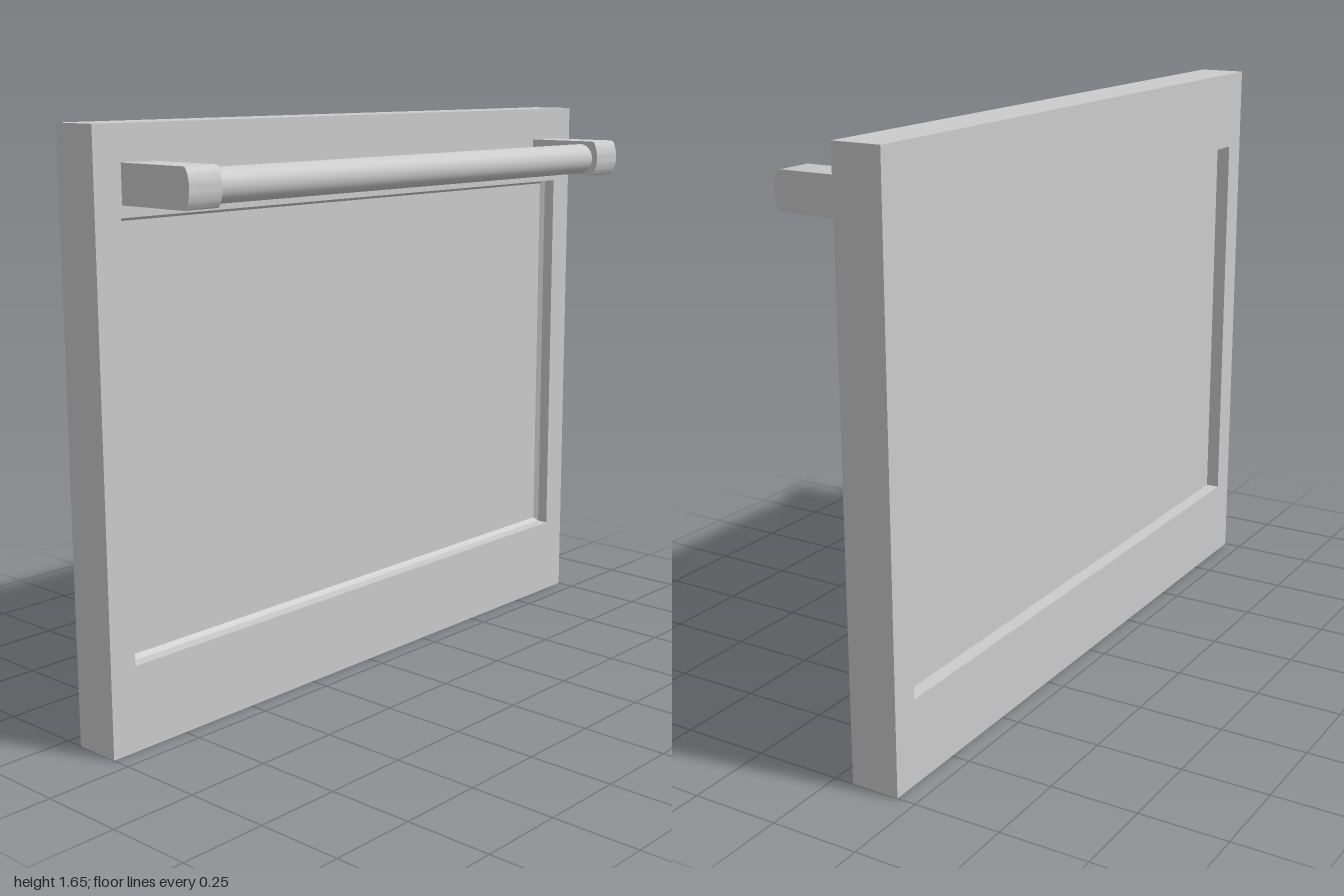
import * as THREE from 'three';
import { toCreasedNormals } from 'three/addons/utils/BufferGeometryUtils.js';

const W = 2, H = 1.655, BACK = -0.196, FRONT = -0.056;
const WIN = { x: 0.918, y0: 0.24, y1: 1.42 };

function rect(Type, x, y0, y1) {
  const p = new Type();
  p.moveTo(-x, y0);
  p.lineTo(x, y0);
  p.lineTo(x, y1);
  p.lineTo(-x, y1);
  p.closePath();
  return p;
}

export function createModel() {
  const group = new THREE.Group();
  const material = new THREE.MeshStandardMaterial({ color: 0xcccccc });
  const add = (name, geometry, x = 0, y = 0, z = 0) => {
    const mesh = new THREE.Mesh(geometry, material);
    mesh.name = name;
    mesh.position.set(x, y, z);
    group.add(mesh);
    return mesh;
  };

  // Door frame with a rectangular window opening
  const frame = rect(THREE.Shape, W / 2, 0, H);
  frame.holes.push(rect(THREE.Path, WIN.x, WIN.y0, WIN.y1));
  add('doorFrame', new THREE.ExtrudeGeometry(frame, { depth: FRONT - BACK, bevelEnabled: false }), 0, 0, BACK);

  // Window pane recessed on both faces
  const paneBack = -0.155, paneFront = -0.103;
  const winH = WIN.y1 - WIN.y0, winY = (WIN.y0 + WIN.y1) / 2;
  add('windowPane', new THREE.BoxGeometry(WIN.x * 2, winH, paneFront - paneBack),
    0, winY, (paneBack + paneFront) / 2);

  // Thin sloped bead where the pane meets the front of the opening
  const bead = 0.012;
  const beadProfile = new THREE.Shape([
    new THREE.Vector2(0, 0), new THREE.Vector2(bead, 0), new THREE.Vector2(0, bead),
  ]);
  const addBead = (length, x, y, angle) => {
    const g = new THREE.ExtrudeGeometry(beadProfile, { depth: length, bevelEnabled: false });
    g.translate(0, 0, -length / 2);
    g.rotateY(-Math.PI / 2); // profile now spans z (out of pane) and y (inward)
    add('windowBead', g, x, y, paneFront).rotation.z = angle;
  };
  addBead(WIN.x * 2, 0, WIN.y0, 0);
  addBead(WIN.x * 2, 0, WIN.y1, Math.PI);
  addBead(winH, WIN.x, winY, Math.PI / 2);
  addBead(winH, -WIN.x, winY, -Math.PI / 2);

  // Handle brackets: side profile with a gently domed front end
  const handleY = 1.505, handleX = -0.003, half = 0.053, bracketW = 0.108;
  const profile = new THREE.Shape();
  profile.moveTo(FRONT, -half);
  profile.lineTo(0.174, -half);
  profile.quadraticCurveTo(0.183, -half, 0.187, -0.042);
  profile.quadraticCurveTo(0.205, 0, 0.187, 0.042);
  profile.quadraticCurveTo(0.183, half, 0.174, half);
  profile.lineTo(FRONT, half);
  profile.closePath();
  for (const side of [-1, 1]) {
    const g = new THREE.ExtrudeGeometry(profile, { depth: bracketW, bevelEnabled: false, curveSegments: 10 });
    g.translate(0, 0, -bracketW / 2);
    g.rotateY(-Math.PI / 2);
    add(side > 0 ? 'leftHandleBracket' : 'rightHandleBracket', toCreasedNormals(g, 0.6),
      handleX + side * 0.856, handleY, 0);
  }

  // Round handle bar between the brackets
  const bar = new THREE.CylinderGeometry(0.046, 0.046, 1.62, 40);
  bar.rotateZ(Math.PI / 2);
  add('handleBar', bar, handleX, handleY - 0.002, 0.131);

  return group;
}
